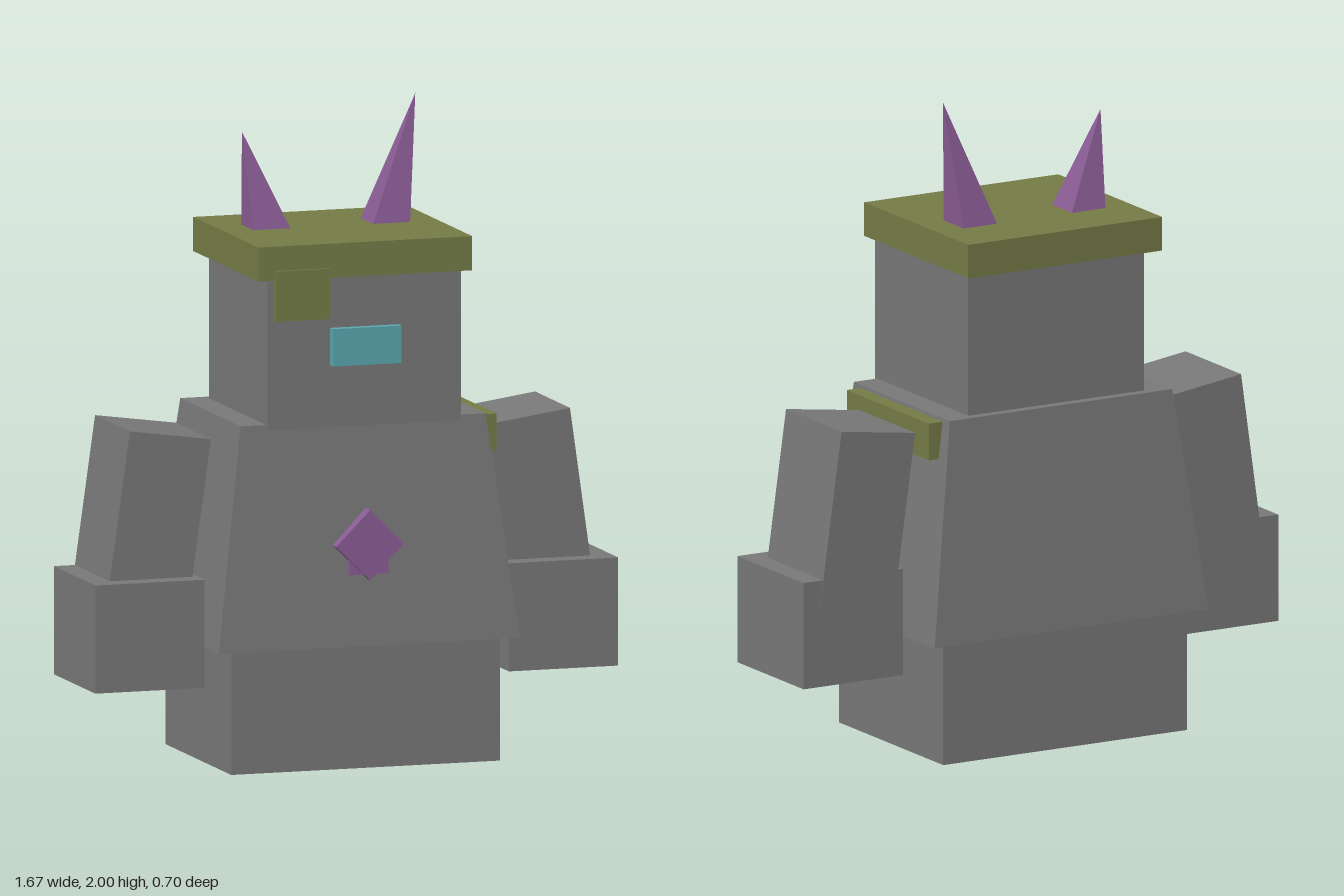
import * as THREE from 'three';

const material = (name, color) => {
  const m = new THREE.MeshStandardMaterial({ color });
  m.name = name;
  return m;
};

export function createModel() {
  const grey = material('stone grey', 0x777777);
  const olive = material('olive', 0x737a45);
  const purple = material('purple', 0x8a5c94);
  const teal = material('teal', 0x5aa5ae);

  const model = new THREE.Group();
  model.name = 'robot';

  const add = (name, geometry, mat, parent = model) => {
    const mesh = new THREE.Mesh(geometry, mat);
    mesh.name = name;
    parent.add(mesh);
    return mesh;
  };

  // Box given by its minimum and maximum corners
  const block = (name, mat, [x0, y0, z0], [x1, y1, z1], parent) => {
    const mesh = add(name, new THREE.BoxGeometry(x1 - x0, y1 - y0, z1 - z0), mat, parent);
    mesh.position.set((x0 + x1) / 2, (y0 + y1) / 2, (z0 + z1) / 2);
    return mesh;
  };

  // Base and head
  block('base', grey, [-0.43, 0, -0.31], [0.43, 0.38, 0.31]);
  block('head', grey, [-0.31, 1.05, -0.255], [0.31, 1.52, 0.298]);
  block('cap', olive, [-0.342, 1.51, -0.31], [0.342, 1.615, 0.308]);

  // Torso: a box narrowed towards the top
  const torsoGeometry = new THREE.BoxGeometry(0.964, 0.685, 0.694);
  const p = torsoGeometry.attributes.position;
  for (let i = 0; i < p.count; i++) {
    if (p.getY(i) > 0) {
      p.setX(i, Math.sign(p.getX(i)) * 0.392);
      p.setZ(i, Math.sign(p.getZ(i)) * 0.285);
    }
  }
  torsoGeometry.computeVertexNormals();
  add('torso', torsoGeometry, grey).position.y = 0.7225;

  // Face details
  block('eye', teal, [-0.11, 1.24, 0.28], [0.11, 1.355, 0.326]);
  block('browPatch', olive, [-0.29, 1.385, 0.28], [-0.115, 1.54, 0.318]);

  // Chest emblem: a square turned on its corner over a small block
  const diamond = add('chestDiamond', new THREE.BoxGeometry(0.153, 0.153, 0.06), purple);
  diamond.position.set(0, 0.69, 0.323);
  diamond.rotation.z = Math.PI / 4;
  block('chestBlock', purple, [-0.062, 0.6, 0.29], [0.062, 0.72, 0.343]);

  // Shoulder plate on the left only
  block('shoulderPlate', olive, [0.36, 0.94, -0.245], [0.442, 1.055, 0.243]);

  // Horns: square pyramids leaning outwards, the left one longer
  const horn = (name, baseX, tipX, tipY) => {
    const h = tipY - 1.61;
    let g = new THREE.ConeGeometry(0.06 * Math.SQRT2, h, 4, 1);
    g.rotateY(Math.PI / 4);
    g.translate(0, h / 2, 0);
    const v = g.attributes.position;
    for (let i = 0; i < v.count; i++) {
      v.setX(i, v.getX(i) + (tipX - baseX) * v.getY(i) / h);
    }
    g = g.toNonIndexed();
    g.computeVertexNormals();
    add(name, g, purple).position.set(baseX, 1.61, -0.068);
  };
  horn('leftHorn', 0.19, 0.287, 2.0);
  horn('rightHorn', -0.19, -0.268, 1.91);

  // Arms: a tilted upper arm set into an upright fist
  for (const [side, s] of [['left', 1], ['right', -1]]) {
    const arm = new THREE.Group();
    arm.name = side + 'Arm';
    model.add(arm);
    const upper = add(side + 'UpperArm', new THREE.BoxGeometry(0.262, 0.55, 0.33), grey, arm);
    upper.position.set(s * 0.613, 0.756, -0.003);
    upper.rotation.z = s * 0.14;
    const fist = add(side + 'Fist', new THREE.BoxGeometry(0.35, 0.332, 0.393), grey, arm);
    fist.position.set(s * 0.662, 0.424, 0.03);
  }

  return model;
}
